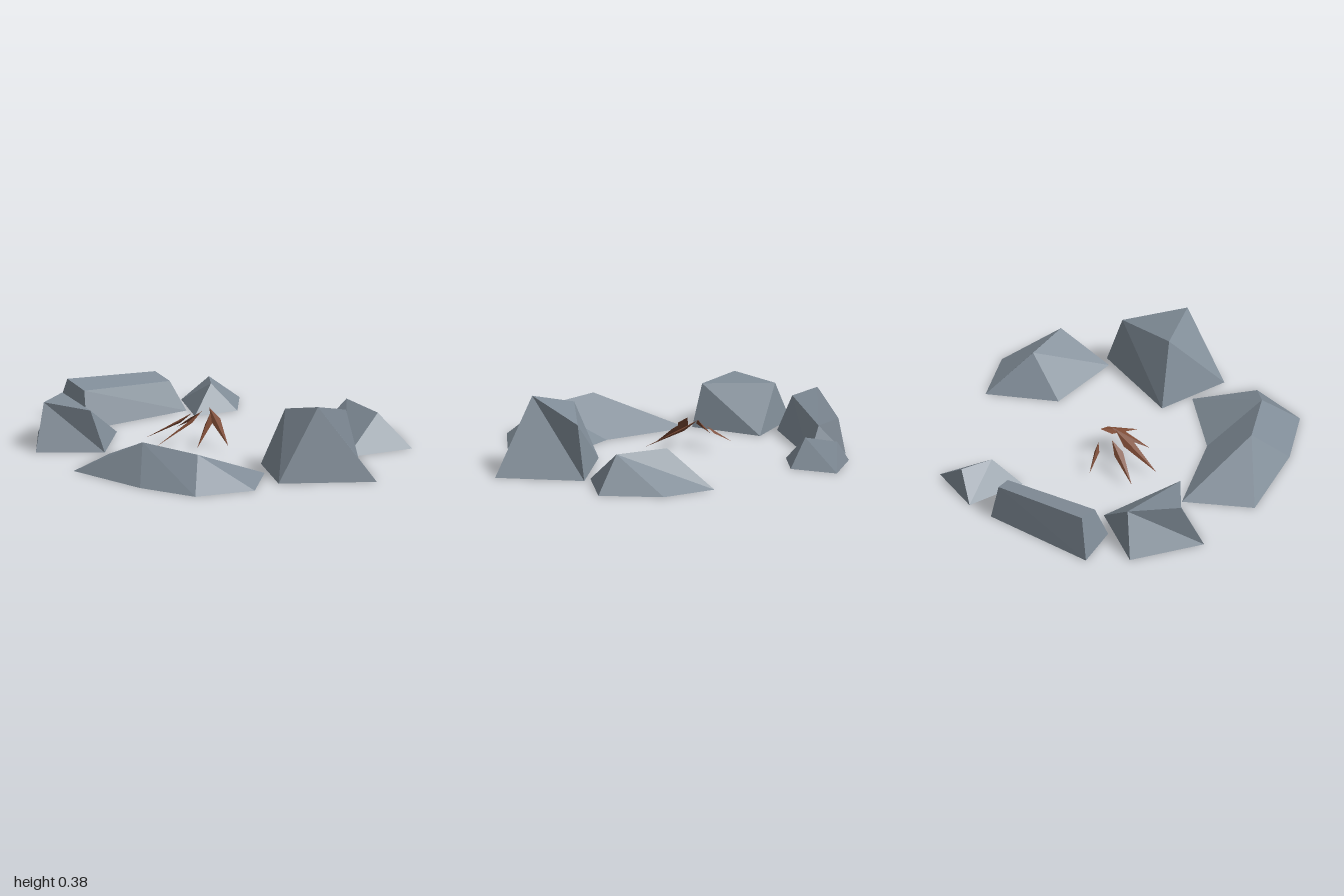
import * as THREE from 'three';
import { ConvexGeometry } from 'three/addons/geometries/ConvexGeometry.js';

const stone = new THREE.MeshStandardMaterial({ color: 0x808c97, side: THREE.DoubleSide, flatShading: true });
stone.name = 'slateStone';
const wood = new THREE.MeshStandardMaterial({ color: 0x7c4a34, side: THREE.DoubleSide, flatShading: true });
wood.name = 'brownWood';

// Open-bottomed faceted rock.
// base: [x, z, index of the crest point it rises to], counter-clockwise from above
// crest: [x, y, z], counter-clockwise from above
function rock(name, base, crest) {
  const pos = [];
  const tri = (...pts) => pts.forEach((p) => pos.push(...p));
  base.forEach(([x, z, t], i) => {
    const [nx, nz, nt] = base[(i + 1) % base.length];
    const next = [nx, 0, nz];
    tri([x, 0, z], next, crest[t]);
    if (nt !== t) tri(next, crest[nt], crest[t]);
  });
  for (let i = 1; i < crest.length - 1; i++) tri(crest[0], crest[i], crest[i + 1]);
  const geo = new THREE.BufferGeometry();
  geo.setAttribute('position', new THREE.Float32BufferAttribute(pos, 3));
  geo.computeVertexNormals();
  const mesh = new THREE.Mesh(geo, stone);
  mesh.name = name;
  return mesh;
}

// Thin pointed splinter, leaning from its foot on the ground up to its head
function splinter(name, foot, head, width) {
  const a = new THREE.Vector3(...foot);
  const b = new THREE.Vector3(...head);
  const dir = b.clone().sub(a).normalize();
  const side = new THREE.Vector3().crossVectors(dir, new THREE.Vector3(0, 1, 0)).normalize();
  const under = new THREE.Vector3().crossVectors(dir, side).normalize();
  const mid = a.clone().lerp(b, 0.7);
  const geo = new ConvexGeometry([
    a, b,
    mid.clone().addScaledVector(side, width),
    mid.clone().addScaledVector(side, -width * 0.5).addScaledVector(under, width * 0.7),
  ]);
  const mesh = new THREE.Mesh(geo, wood);
  mesh.name = name;
  return mesh;
}

export function createModel() {
  const model = new THREE.Group();
  model.name = 'campfire';

  // Ring of stones
  const ring = new THREE.Group();
  ring.name = 'stoneRing';
  ring.add(
    rock('frontCrescentStone',
      [[0.46, 0.72, 1], [0.39, 0.38, 1], [-0.02, 0.45, 0], [-0.5, 0.31, 0],
        [-0.56, 0.69, 0], [-0.12, 0.88, 0], [0.21, 0.94, 1]],
      [[-0.18, 0.19, 0.68], [0.15, 0.17, 0.74]]),
    rock('tallStone',
      [[1, 0.34, 0], [0.75, -0.06, 1], [0.31, 0.22, 2], [0.53, 0.55, 0]],
      [[0.68, 0.38, 0.36], [0.71, 0.28, 0.02], [0.46, 0.325, 0.26]]),
    rock('backLeftStone',
      [[0.95, -0.33, 1], [0.75, -0.61, 1], [0.45, -0.7, 0], [0.38, -0.32, 0], [0.69, -0.05, 1]],
      [[0.54, 0.2, -0.45], [0.77, 0.185, -0.3]]),
    rock('smallStone',
      [[-0.16, -0.7, 1], [-0.24, -0.95, 0], [-0.51, -0.8, 1], [-0.33, -0.52, 1]],
      [[-0.37, 0.13, -0.84], [-0.3, 0.14, -0.68]]),
    rock('longStone',
      [[-0.41, -0.61, 0], [-0.61, -0.69, 1], [-1, -0.2, 2], [-0.77, -0.08, 3]],
      [[-0.5, 0.155, -0.6], [-0.6, 0.185, -0.65], [-0.93, 0.225, -0.22], [-0.81, 0.19, -0.15]]),
    rock('rightStone',
      [[-0.61, -0.1, 0], [-1, 0.03, 0], [-0.87, 0.42, 1], [-0.53, 0.3, 2]],
      [[-0.87, 0.22, 0.02], [-0.87, 0.24, 0.3], [-0.61, 0.22, 0.3]]),
  );
  model.add(ring);

  // Kindling leaning together in the middle
  const kindling = new THREE.Group();
  kindling.name = 'kindling';
  [
    [[-0.3, 0.04, -0.17], [-0.16, 0.14, -0.12], 0.02],
    [[-0.39, 0.03, 0.05], [-0.17, 0.16, -0.05], 0.03],
    [[-0.28, 0.03, 0.18], [-0.11, 0.18, -0.03], 0.035],
    [[-0.07, 0.03, 0.15], [-0.07, 0.17, -0.05], 0.03],
    [[0.08, 0.04, 0.09], [-0.1, 0.18, -0.11], 0.03],
  ].forEach(([foot, head, width], i) => kindling.add(splinter(`splinter${i + 1}`, foot, head, width)));
  model.add(kindling);

  return model;
}
